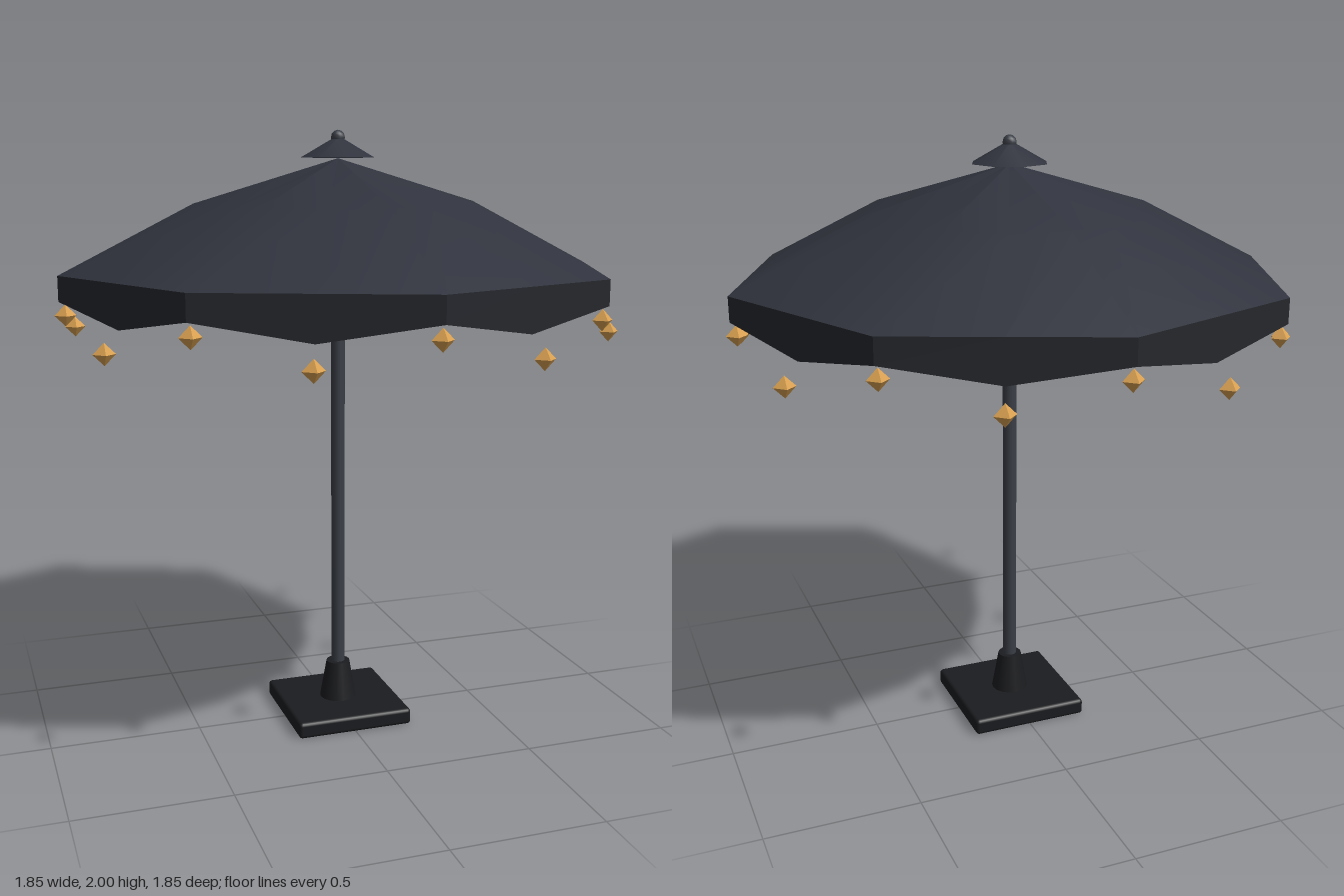
import * as THREE from 'three';
import { RoundedBoxGeometry } from 'three/addons/geometries/RoundedBoxGeometry.js';

const SIDES = 8;
const STEPS = SIDES * 2; // rib, panel middle, rib, ...
const RIM = 0.91;
const FLAT = Math.cos(Math.PI / SIDES); // panel-middle radius relative to rib radius

const mat = (color, extra = {}) => new THREE.MeshStandardMaterial({ color, ...extra });

function add(parent, name, geometry, material, x = 0, y = 0, z = 0) {
  const mesh = new THREE.Mesh(geometry, material);
  mesh.name = name;
  mesh.position.set(x, y, z);
  parent.add(mesh);
  return mesh;
}

// Joins octagonal rings; each ring is [radius, y at ribs, y at panel middles]
function ringSurface(rings) {
  const pos = [], index = [];
  for (const [r, yRib, yMid] of rings) {
    for (let j = 0; j < STEPS; j++) {
      const a = (j / STEPS) * Math.PI * 2;
      const mid = j % 2 === 1;
      const rr = mid ? r * FLAT : r;
      pos.push(rr * Math.cos(a), mid ? yMid : yRib, rr * Math.sin(a));
    }
  }
  for (let i = 0; i < rings.length - 1; i++) {
    for (let j = 0; j < STEPS; j++) {
      const k = (j + 1) % STEPS;
      const a = i * STEPS + j, b = i * STEPS + k;
      const c = a + STEPS, d = b + STEPS;
      index.push(a, b, d, a, d, c);
    }
  }
  const g = new THREE.BufferGeometry();
  g.setAttribute('position', new THREE.Float32BufferAttribute(pos, 3));
  g.setIndex(index);
  g.computeVertexNormals();
  return g;
}

// Thin round bar between two points
function bar(parent, name, from, to, radius, material) {
  const dir = to.clone().sub(from);
  const mesh = add(parent, name, new THREE.CylinderGeometry(radius, radius, dir.length(), 6), material);
  mesh.position.copy(from).add(to).multiplyScalar(0.5);
  mesh.quaternion.setFromUnitVectors(new THREE.Vector3(0, 1, 0), dir.normalize());
}

export function createModel() {
  const root = new THREE.Group();
  root.name = 'parasol';

  const fabric = mat(0x30333d, { side: THREE.DoubleSide });
  const valanceFabric = mat(0x25272c, { side: THREE.DoubleSide, flatShading: true });
  const metal = mat(0x3a3e46);
  const baseMat = mat(0x1b1c1f);
  const gold = mat(0xd9a050, { flatShading: true });

  // Weighted foot and socket
  add(root, 'basePlate', new RoundedBoxGeometry(0.4, 0.055, 0.4, 2, 0.012), baseMat, 0, 0.0275, 0);
  add(root, 'baseSocket', new THREE.CylinderGeometry(0.04, 0.064, 0.135, 16), baseMat, 0, 0.1175, 0);

  // Pole with sliding hub and top hub
  add(root, 'pole', new THREE.CylinderGeometry(0.023, 0.023, 1.84, 16), metal, 0, 0.97, 0);
  add(root, 'slidingHub', new THREE.CylinderGeometry(0.036, 0.036, 0.065, 16), metal, 0, 1.4325, 0);
  add(root, 'topHub', new THREE.CylinderGeometry(0.03, 0.03, 0.04, 16), metal, 0, 1.86, 0);

  // Canopy, slightly slack between the ribs
  add(root, 'canopy', ringSurface([
    [0.001, 1.91, 1.91],
    [0.48, 1.77, 1.755],
    [RIM, 1.555, 1.555],
  ]), fabric);

  // Hanging edge that dips in the middle of each panel
  add(root, 'valance', ringSurface([
    [RIM, 1.555, 1.555],
    [RIM, 1.475, 1.42],
  ]), valanceFabric);

  // Vent cap and finial
  add(root, 'ventCap', new THREE.CylinderGeometry(0.012, 0.127, 0.064, SIDES, 1, true, Math.PI / 2),
    fabric, 0, 1.944, 0);
  add(root, 'finial', new THREE.SphereGeometry(0.024, 8, 6), metal, 0, 1.976, 0);

  // Ribs under the cloth and struts from the sliding hub
  const frame = new THREE.Group();
  frame.name = 'frame';
  root.add(frame);
  for (let i = 0; i < SIDES; i++) {
    const a = (i / SIDES) * Math.PI * 2;
    const at = (r, y) => new THREE.Vector3(r * Math.cos(a), y, r * Math.sin(a));
    bar(frame, 'innerRib', at(0.02, 1.885), at(0.48, 1.75), 0.008, metal);
    bar(frame, 'outerRib', at(0.48, 1.75), at(0.895, 1.545), 0.008, metal);
    bar(frame, 'strut', at(0.03, 1.435), at(0.48, 1.745), 0.007, metal);
  }

  // Faceted ornaments around the edge, lower at the panel middles
  const ornaments = new THREE.Group();
  ornaments.name = 'ornaments';
  root.add(ornaments);
  const gem = new THREE.OctahedronGeometry(0.034);
  for (let j = 0; j < STEPS; j++) {
    const a = (j / STEPS) * Math.PI * 2;
    add(ornaments, 'ornament', gem, gold, 0.89 * Math.cos(a), j % 2 ? 1.355 : 1.432, 0.89 * Math.sin(a));
  }

  return root;
}
